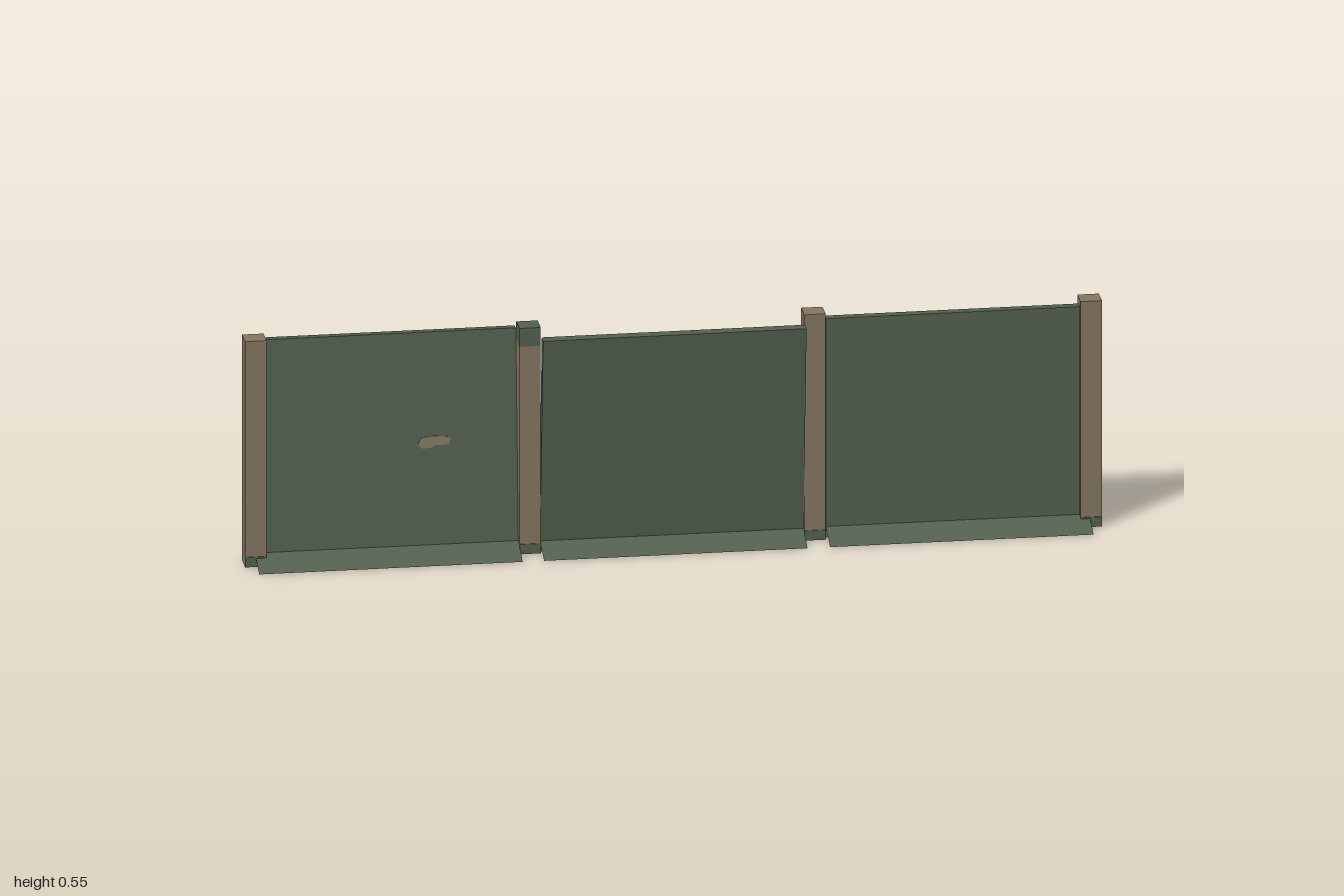
import * as THREE from 'three';

export function createModel() {
  const group = new THREE.Group();
  const green = new THREE.MeshStandardMaterial({ color: 0x536150 });
  green.name = 'weathered green';
  green.side = THREE.DoubleSide;
  const wood = new THREE.MeshStandardMaterial({ color: 0x867661 });
  wood.name = 'bare wood';

  const add = (name, geometry, material, x, y, z, parent = group) => {
    const mesh = new THREE.Mesh(geometry, material);
    mesh.name = name;
    mesh.position.set(x, y, z);
    parent.add(mesh);
    return mesh;
  };
  const box = (w, h, d) => new THREE.BoxGeometry(w, h, d);

  const P = 0.05, H = 0.552, T = 0.022, W = 0.615;

  // Posts, with mossy feet and one mossy top
  [-0.975, -0.335, 0.33, 0.975].forEach((x, i) => {
    const post = new THREE.Group();
    post.name = 'post' + (i + 1);
    post.position.x = x;
    group.add(post);
    const cap = i === 1 ? 0.045 : 0;
    add('postShaft', box(P, H - cap, P), wood, 0, (H - cap) / 2, 0, post);
    if (cap) add('mossyTop', box(P, cap, P), green, 0, H - cap / 2, 0, post);
    for (const s of [-1, 1]) {
      add('mossyFoot', box(P, 0.024, 0.002), green, 0, 0.012, s * (P / 2 + 0.001), post);
    }
  });

  // Worn patch outline
  const patch = new THREE.Shape();
  patch.moveTo(-0.037, -0.004);
  [[-0.03, -0.014], [-0.008, -0.014], [0.004, -0.008], [0.034, -0.007], [0.04, 0.005],
    [0.033, 0.012], [0, 0.015], [-0.03, 0.011]].forEach(([x, y]) => patch.lineTo(x, y));
  const patchGeometry = new THREE.ExtrudeGeometry(patch, { depth: 0.002, bevelEnabled: false });

  // Panels pivot at the ground, each with its own lean
  [[-0.6675, -0.08], [-0.0025, 0.098], [0.665, 0]].forEach(([x, lean], i) => {
    const pivot = new THREE.Group();
    pivot.name = 'panel' + (i + 1);
    pivot.position.x = x;
    pivot.rotation.x = lean;
    group.add(pivot);
    add('board', box(W, 0.535, T), green, 0, 0.2675, 0, pivot);
    if (i === 0) {
      add('wornPatchFront', patchGeometry, wood, 0.113, 0.272, T / 2, pivot);
      add('wornPatchBack', patchGeometry, wood, 0.113, 0.272, -T / 2 - 0.002, pivot);
    }

    // Sloping ground skirts, front and back
    for (const s of [-1, 1]) {
      const skirt = new THREE.PlaneGeometry(W, 1);
      const p = skirt.attributes.position;
      for (let k = 0; k < p.count; k++) {
        const inner = (p.getY(k) > 0) === (s > 0);
        p.setXYZ(k, p.getX(k), inner ? 0.031 : 0, inner ? 0 : s * 0.08);
      }
      skirt.computeVertexNormals();
      add(s > 0 ? 'frontSkirt' : 'backSkirt', skirt, green, x, 0, 0);
    }
  });
  return group;
}
